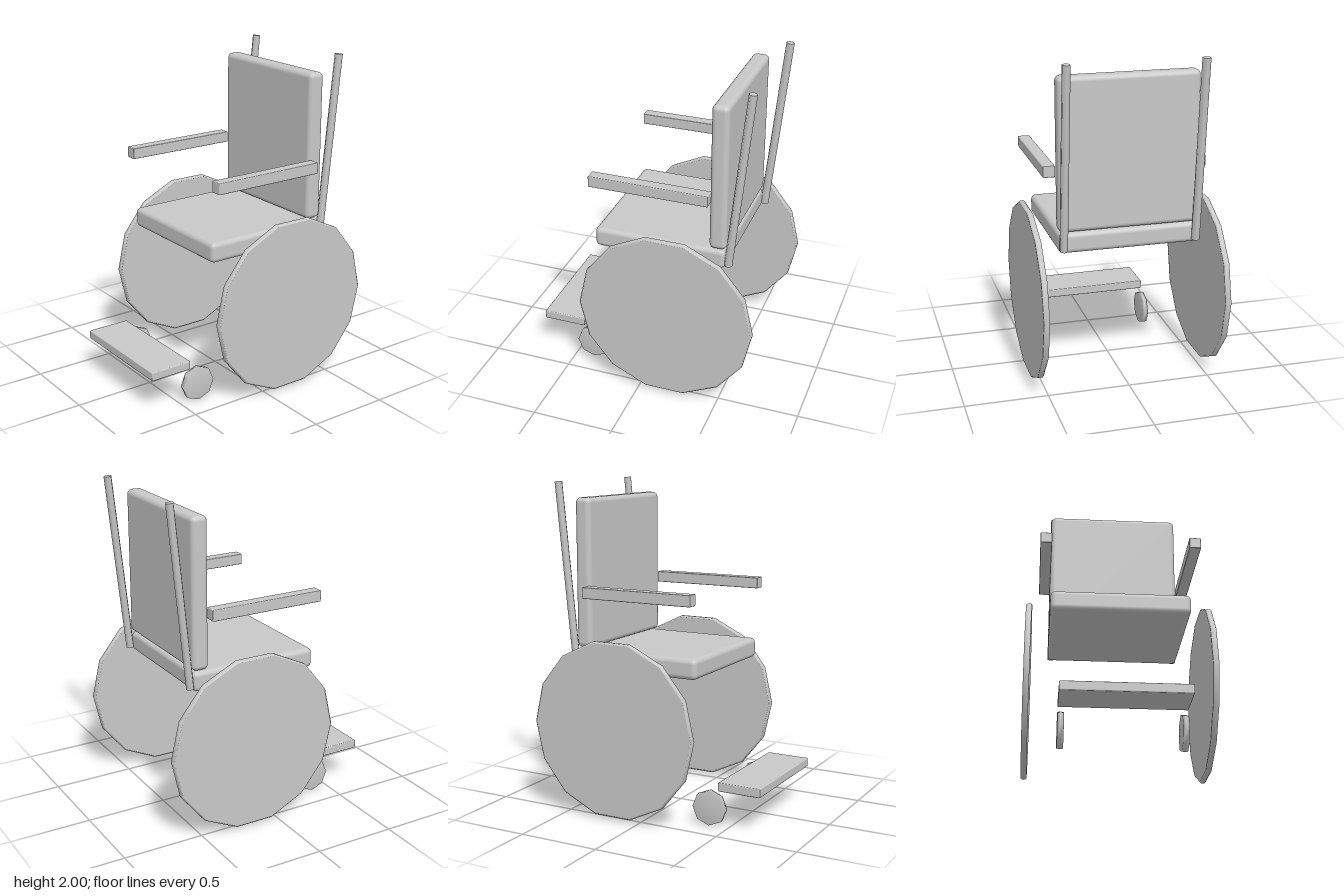
import * as THREE from 'three';
import { RoundedBoxGeometry } from 'three/addons/geometries/RoundedBoxGeometry.js';

export function createModel() {
  const model = new THREE.Group();
  model.name = 'wheelchair';
  const grey = new THREE.MeshStandardMaterial({ color: 0xc8c8c8 });
  grey.name = 'light grey';

  const add = (name, geometry, x, y, z) => {
    const mesh = new THREE.Mesh(geometry, grey);
    mesh.name = name;
    mesh.position.set(x, y, z);
    model.add(mesh);
    return mesh;
  };

  // Low-sided disc turned about the x axis, with a corner pointing to +z
  const disc = (profile, sides) =>
    new THREE.LatheGeometry(profile.map(([r, h]) => new THREE.Vector2(r, h)), sides).rotateZ(Math.PI / 2);

  // Cushions
  add('seat', new RoundedBoxGeometry(0.836, 0.123, 0.81, 3, 0.03), 0, 0.939, -0.086);
  add('backrest', new RoundedBoxGeometry(0.836, 0.9, 0.102, 3, 0.03), 0, 1.455, -0.443);

  // Footplate
  add('footplate', new RoundedBoxGeometry(0.726, 0.054, 0.27, 2, 0.006), 0, 0.248, 0.575);

  // Wheel: flat faces with a softly rounded rim
  const R = 0.5425, h = 0.0175, b = 0.008;
  const wheel = disc([
    [0, -h], [R - b - 0.003, -h], [R - b, -h], [R, -h + b],
    [R, h - b], [R - b, h], [R - b - 0.003, h], [0, h],
  ], 14);

  // Caster: small disc with soft shading
  const caster = disc([[0, -0.018], [0.106, -0.018], [0.109, 0], [0.106, 0.018], [0, 0.018]], 8);

  const post = new THREE.CylinderGeometry(0.025, 0.025, 1.1, 6);
  const armrest = new RoundedBoxGeometry(0.071, 0.068, 0.725, 2, 0.005);

  for (const [side, s] of [['left', 1], ['right', -1]]) {
    add(side + 'Wheel', wheel, s * 0.543, 0.55, -0.167);
    add(side + 'Caster', caster, s * 0.345, 0.109, 0.38);
    add(side + 'Armrest', armrest, s * 0.452, 1.349, -0.042);
    add(side + 'BackPost', post, s * 0.397, 1.45, -0.563).rotation.x = -0.1;
  }
  return model;
}
